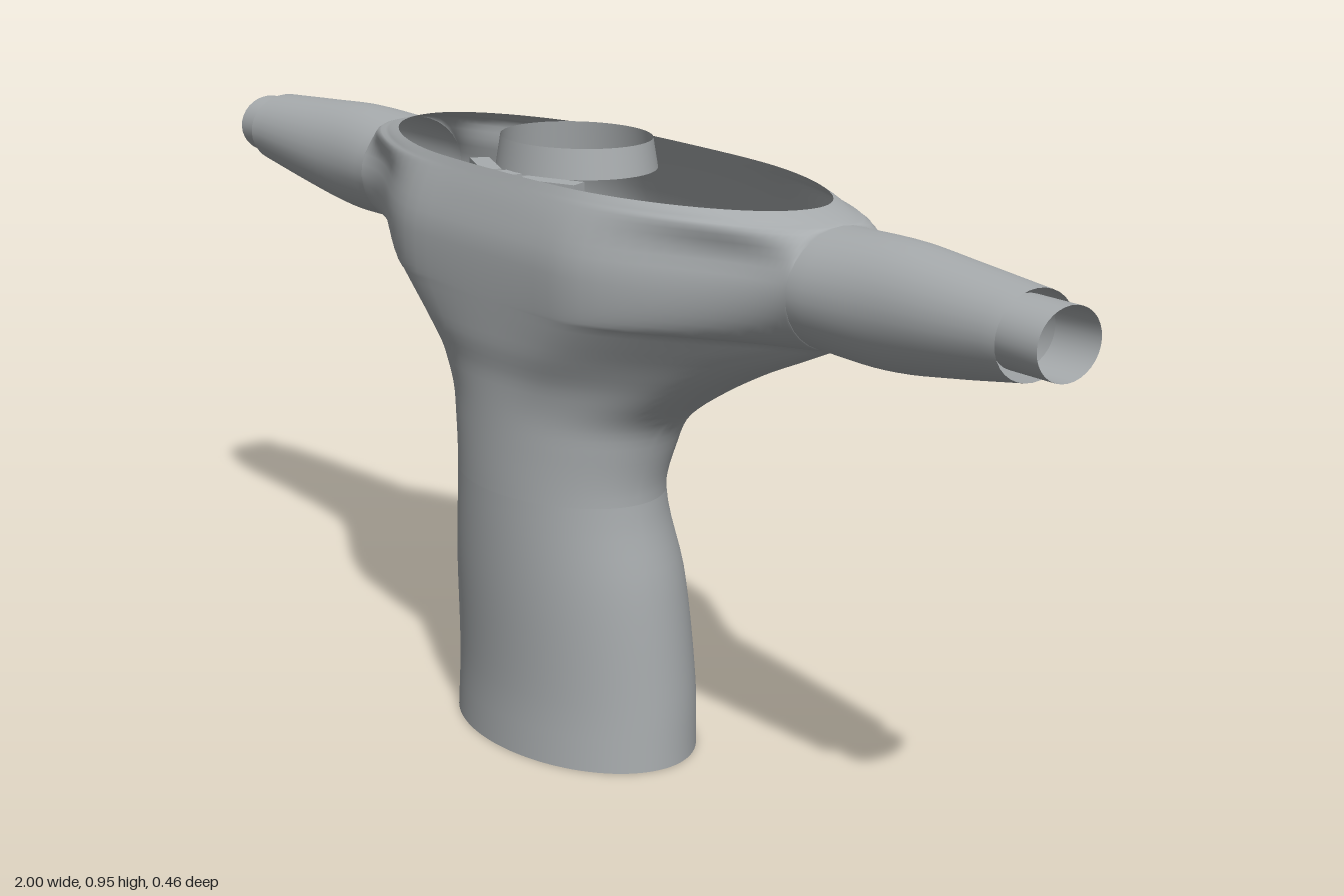
import * as THREE from 'three';
import { mergeGeometries, mergeVertices } from 'three/addons/utils/BufferGeometryUtils.js';

const shellGrey = new THREE.MeshStandardMaterial({ color: 0xa8acae, side: THREE.DoubleSide });
shellGrey.name = 'shell grey';

const { smoothstep, lerp } = THREE.MathUtils;

// Smooth curve through [position, value] pairs
function curve(pts) {
  const slope = (a, b) => (b[1] - a[1]) / (b[0] - a[0]);
  const tangent = (i) => slope(pts[Math.max(i - 1, 0)], pts[Math.min(i + 1, pts.length - 1)]);
  return (v) => {
    let i = 0;
    while (i < pts.length - 2 && v > pts[i + 1][0]) i++;
    const h = pts[i + 1][0] - pts[i][0];
    const t = THREE.MathUtils.clamp((v - pts[i][0]) / h, 0, 1);
    const t2 = t * t, t3 = t2 * t;
    return (2 * t3 - 3 * t2 + 1) * pts[i][1] + (t3 - 2 * t2 + t) * h * tangent(i)
      + (3 * t2 - 2 * t3) * pts[i + 1][1] + (t3 - t2) * h * tangent(i + 1);
  };
}

// Quad grid from a point rule f(u, v); u in 0..1, v taken from a list of rows
function grid(f, cols, rows, flip) {
  const pos = [], idx = [];
  rows.forEach((v) => {
    for (let i = 0; i <= cols; i++) pos.push(...f(i / cols, v));
  });
  for (let j = 0; j < rows.length - 1; j++) {
    for (let i = 0; i < cols; i++) {
      const a = j * (cols + 1) + i, b = a + 1, c = a + cols + 1, d = c + 1;
      if (flip) idx.push(a, b, c, b, d, c);
      else idx.push(b, a, c, b, c, d);
    }
  }
  const g = new THREE.BufferGeometry();
  g.setAttribute('position', new THREE.Float32BufferAttribute(pos, 3));
  g.setIndex(idx);
  return g;
}

function smooth(...parts) {
  const g = mergeVertices(mergeGeometries(parts), 1e-5);
  g.computeVertexNormals();
  return g;
}

function part(name, geometry, parent) {
  const m = new THREE.Mesh(geometry, shellGrey);
  m.name = name;
  parent.add(m);
  return m;
}

// Body outlines by height: half width, front depth, back depth
const halfWidth = curve([[0, 0.24], [0.1, 0.236], [0.28, 0.222], [0.42, 0.2], [0.5, 0.213],
  [0.55, 0.235], [0.6, 0.3], [0.65, 0.39], [0.69, 0.48], [0.721, 0.55]]);
const frontZ = curve([[0, 0.215], [0.1, 0.212], [0.28, 0.22], [0.42, 0.222], [0.6, 0.22],
  [0.66, 0.228], [0.8, 0.23], [0.86, 0.215], [0.91, 0.195]]);
const backZ = curve([[0, -0.102], [0.1, -0.102], [0.28, -0.085], [0.42, -0.056], [0.5, -0.075],
  [0.55, -0.093], [0.64, -0.16], [0.71, -0.218], [0.76, -0.226], [0.85, -0.197], [0.91, -0.17]]);

// Arm root ellipse, where the arms open into the bowl
const ROOT = { x: 0.55, y: 0.8085, ry: 0.0875, rz: 0.1 };
const RIM = 0.91;

function bodyPoint(side) {
  return (u, y) => {
    const s = -Math.cos(Math.PI * (1 - u));
    const q = Math.min(Math.abs(s), 1);
    const rootTop = ROOT.y + ROOT.ry;
    const xEnd = y > rootTop ? lerp(ROOT.x, 0.49, (y - rootTop) / (RIM - rootTop)) : Math.min(ROOT.x, halfWidth(y));
    const d = (y - ROOT.y) / ROOT.ry;
    const w = ROOT.rz * Math.sqrt(Math.max(0, 1 - d * d));
    const mid = (frontZ(y) + backZ(y)) / 2 * (1 - smoothstep(y, 0.5, 0.72));
    const reach = Math.abs((side > 0 ? frontZ(y) : backZ(y)) - mid);
    // round outline in the stem, bell outline running into the arms, full oval at the rim
    const round = Math.sqrt(Math.max(0, 1 - Math.pow(q, lerp(2, 2.7, smoothstep(y, 0.8, RIM)))));
    const bell = 1 - smoothstep(q, 0.33, 1);
    const k = smoothstep(y, 0.55, 0.82) * (1 - 0.9 * smoothstep(y, 0.84, RIM));
    return [xEnd * s, y, mid + side * (w + (reach - w) * lerp(round, bell, k))];
  };
}

function bodyGeometry(rows) {
  return smooth(grid(bodyPoint(1), 48, rows, false), grid(bodyPoint(-1), 48, rows, true));
}

// Open tube along x from an ellipse rule at each station
function tubeAlongX(rule, stations, side) {
  return smooth(grid((u, x) => {
    const [cy, cz, ry, rz] = rule(x);
    const a = u * Math.PI * 2;
    return [side * x, cy - ry * Math.cos(a), cz + rz * Math.sin(a)];
  }, 32, stations, side < 0));
}

const range = (a, b, n) => Array.from({ length: n + 1 }, (_, i) => a + (b - a) * i / n);

export function createModel() {
  const model = new THREE.Group();
  model.name = 'tubular housing';

  // Hollow stem, and the bowl that flares from it up to the open rim
  part('stem', bodyGeometry(range(0, 0.42, 16)), model);
  const rootRows = range(0, Math.PI, 16).map((a) => ROOT.y - ROOT.ry * Math.cos(a));
  part('bowl', bodyGeometry([...range(0.42, 0.71, 22), ...rootRows, 0.9, 0.905, RIM]), model);

  // Tapering arms with a narrower sleeve in each open end
  const armY = curve([[0.55, ROOT.y], [0.68, 0.81], [0.8, 0.816], [0.94, 0.825]]);
  const armZ = curve([[0.55, 0], [0.68, 0.003], [0.8, 0.011], [0.94, 0.021]]);
  const armRy = curve([[0.55, ROOT.ry], [0.68, 0.09], [0.8, 0.078], [0.94, 0.061]]);
  const armRz = curve([[0.55, ROOT.rz], [0.68, 0.089], [0.8, 0.081], [0.94, 0.071]]);
  for (const side of [1, -1]) {
    const label = side > 0 ? 'left' : 'right';
    part(label + 'Arm', tubeAlongX((x) => [armY(x), armZ(x), armRy(x), armRz(x)], range(0.55, 0.94, 14), side), model);
    part(label + 'Sleeve', tubeAlongX(() => [0.826, 0.022, 0.05, 0.057], [0.92, 1], side), model);
  }

  // Collar ring standing in the bowl opening
  const collar = part('collarRing', new THREE.CylinderGeometry(0.127, 0.135, 0.045, 48, 1, true), model);
  collar.scale.z = 0.86;
  collar.position.set(0, 0.926, 0.051);

  // Strip running down inside the stem, and angled brackets beside the collar
  part('innerStrip', new THREE.BoxGeometry(0.04, 0.85, 0.03), model).position.set(0, 0.48, 0.172);
  for (const side of [1, -1]) {
    const bracket = part(side > 0 ? 'leftBracket' : 'rightBracket', new THREE.BoxGeometry(0.1, 0.045, 0.03), model);
    bracket.position.set(side * 0.085, 0.882, 0.16);
    bracket.rotation.y = side * 0.4;
  }
  return model;
}
